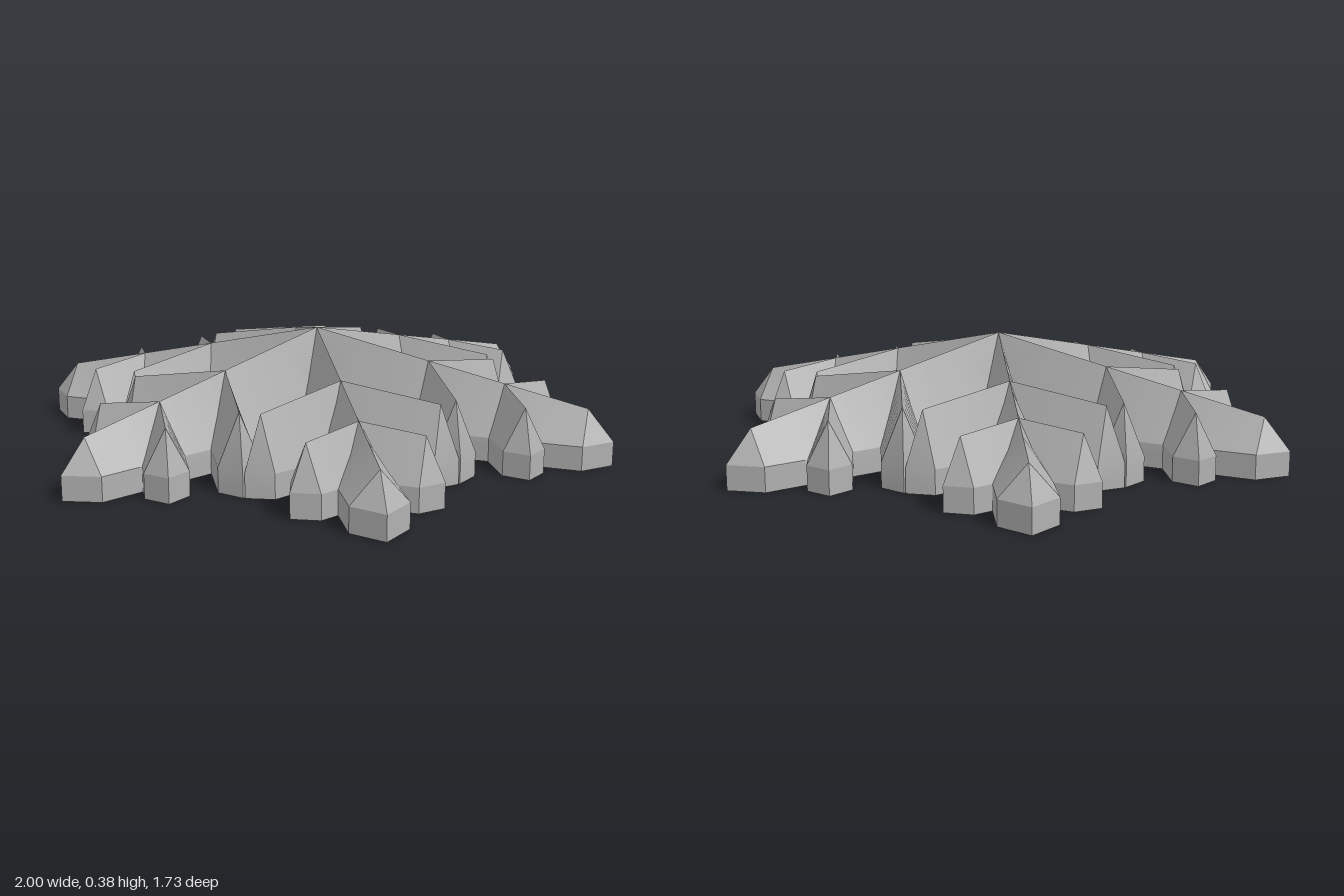
import * as THREE from 'three';
import { toCreasedNormals } from 'three/addons/utils/BufferGeometryUtils.js';

const EAVE = 0.08;
const SEGMENTS = 6;

// Gabled bar along +x with a pointed end; its ridge slopes from h0 down to h1.
function barGeometry(length, shoulder, w, h0, h1) {
  const pos = [];
  for (const side of [1, -1]) {
    const tri = (a, b, c) => {
      for (const p of side > 0 ? [a, b, c] : [a, c, b]) pos.push(p[0], p[1], p[2] * side);
    };
    const quad = (a, b, c, d) => { tri(a, b, c); tri(a, c, d); };
    // wall, pointed end and underside
    quad([0, 0, w], [shoulder, 0, w], [shoulder, EAVE, w], [0, EAVE, w]);
    quad([shoulder, 0, w], [length, 0, 0], [length, EAVE, 0], [shoulder, EAVE, w]);
    tri([shoulder, EAVE, w], [length, EAVE, 0], [shoulder, h1, 0]);
    quad([0, 0, 0], [length, 0, 0], [shoulder, 0, w], [0, 0, w]);
    // twisted roof slope
    for (let i = 0; i < SEGMENTS; i++) {
      const t = i / SEGMENTS, u = (i + 1) / SEGMENTS;
      quad([t * shoulder, EAVE, w], [u * shoulder, EAVE, w],
        [u * shoulder, h0 + (h1 - h0) * u, 0], [t * shoulder, h0 + (h1 - h0) * t, 0]);
    }
  }
  const geo = new THREE.BufferGeometry();
  geo.setAttribute('position', new THREE.Float32BufferAttribute(pos, 3));
  return toCreasedNormals(geo, 0.3);
}

export function createModel() {
  const model = new THREE.Group();
  model.name = 'snowflake';
  const grey = new THREE.MeshStandardMaterial({ color: 0xb0b0b0 });
  grey.name = 'grey';

  const armGeo = barGeometry(1, 0.915, 0.088, 0.382, 0.182);
  const branches = [
    { name: 'innerBranch', x: 0.388, geo: barGeometry(0.382, 0.32, 0.067, 0.297, 0.25) },
    { name: 'outerBranch', x: 0.643, geo: barGeometry(0.265, 0.205, 0.068, 0.241, 0.217) },
  ];

  // Six arms, each with two mirrored pairs of branches
  for (let i = 0; i < 6; i++) {
    const arm = new THREE.Group();
    arm.name = `arm${i + 1}`;
    arm.rotation.y = i * Math.PI / 3;
    const spine = new THREE.Mesh(armGeo, grey);
    spine.name = 'spine';
    arm.add(spine);
    for (const { name, x, geo } of branches) {
      for (const side of [1, -1]) {
        const branch = new THREE.Mesh(geo, grey);
        branch.name = name;
        branch.position.x = x;
        branch.rotation.y = side * Math.PI / 3;
        arm.add(branch);
      }
    }
    model.add(arm);
  }
  return model;
}
